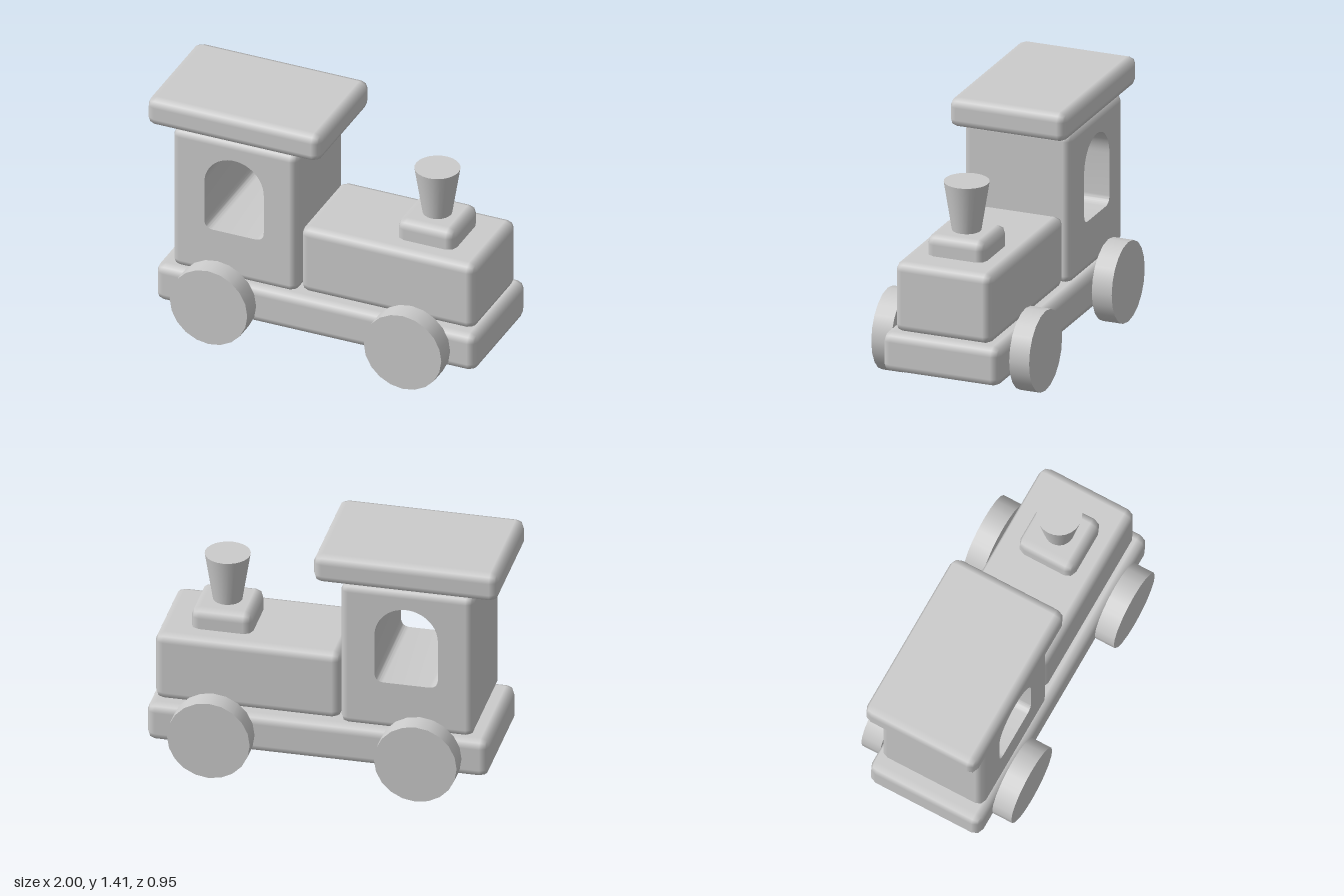
import * as THREE from 'three';
import { RoundedBoxGeometry } from 'three/addons/geometries/RoundedBoxGeometry.js';
import { toCreasedNormals } from 'three/addons/utils/BufferGeometryUtils.js';

const material = new THREE.MeshStandardMaterial({ color: 0xcccccc });

function add(parent, name, geometry, x = 0, y = 0, z = 0) {
  const mesh = new THREE.Mesh(geometry, material);
  mesh.name = name;
  mesh.position.set(x, y, z);
  parent.add(mesh);
  return mesh;
}

// Softly bevelled block given by its x and y limits and half depth
function block(parent, name, x0, x1, y0, y1, halfZ, radius = 0.05) {
  const geometry = new RoundedBoxGeometry(x1 - x0, y1 - y0, halfZ * 2, 1, radius);
  return add(parent, name, geometry, (x0 + x1) / 2, (y0 + y1) / 2);
}

// Drops the flat panels facing +z and -z from a bevelled block
function removeSidePanels(geometry, halfZ) {
  const source = geometry.index ? geometry.toNonIndexed() : geometry;
  const p = source.attributes.position, n = source.attributes.normal;
  const positions = [], normals = [];
  for (let i = 0; i < p.count; i += 3) {
    const corners = [i, i + 1, i + 2];
    if (corners.every((k) => Math.abs(p.getZ(k)) > halfZ - 1e-4)) continue;
    for (const k of corners) {
      positions.push(p.getX(k), p.getY(k), p.getZ(k));
      normals.push(n.getX(k), n.getY(k), n.getZ(k));
    }
  }
  const result = new THREE.BufferGeometry();
  result.setAttribute('position', new THREE.Float32BufferAttribute(positions, 3));
  result.setAttribute('normal', new THREE.Float32BufferAttribute(normals, 3));
  return result;
}

// Arched window outline with small rounded lower corners
function windowPath(x0, x1, y0, y1, r) {
  const mid = (x0 + x1) / 2, arch = (x1 - x0) / 2;
  const path = new THREE.Path();
  path.moveTo(x0 + r, y0);
  path.lineTo(x1 - r, y0);
  path.quadraticCurveTo(x1, y0, x1, y0 + r);
  path.lineTo(x1, y1 - arch);
  path.absarc(mid, y1 - arch, arch, 0, Math.PI, false);
  path.lineTo(x0, y0 + r);
  path.quadraticCurveTo(x0, y0, x0 + r, y0);
  return path;
}

function buildCab(parent) {
  const x0 = -0.855, x1 = -0.097, y0 = 0.352, y1 = 1.236, halfZ = 0.322, r = 0.045;
  const cab = new THREE.Group();
  cab.name = 'cab';
  parent.add(cab);

  const shell = block(cab, 'cabShell', x0, x1, y0, y1, halfZ, r);
  shell.geometry = removeSidePanels(shell.geometry, halfZ);

  // Side panels with the window tunnel running through
  const panel = new THREE.Shape([
    new THREE.Vector2(x0 + r, y0 + r), new THREE.Vector2(x1 - r, y0 + r),
    new THREE.Vector2(x1 - r, y1 - r), new THREE.Vector2(x0 + r, y1 - r),
  ]);
  panel.holes.push(windowPath(-0.655, -0.295, 0.645, 1.12, 0.055));
  const core = new THREE.ExtrudeGeometry(panel, { depth: halfZ * 2, bevelEnabled: false, curveSegments: 14 });
  add(cab, 'cabWindowWalls', toCreasedNormals(core, 0.6), 0, 0, -halfZ);
}

export function createModel() {
  const train = new THREE.Group();
  train.name = 'toyTrain';

  block(train, 'chassis', -0.945, 0.998, 0.12, 0.352, 0.352);
  block(train, 'boiler', -0.093, 0.966, 0.352, 0.766, 0.292);
  buildCab(train);
  block(train, 'roof', -1, 0.053, 1.238, 1.41, 0.352);

  // Chimney
  const base = block(train, 'chimneyBase', 0.439, 0.789, 0.7, 0.885, 0.176, 0.05);
  base.geometry.scale(1, 1.08, 1);
  base.position.y = 0.785;
  add(train, 'chimney', new THREE.CylinderGeometry(0.128, 0.08, 0.3, 24), 0.614, 1.02);

  // Wheels
  const wheel = new THREE.CylinderGeometry(0.235, 0.235, 0.12, 20);
  wheel.rotateX(Math.PI / 2);
  for (const [end, x] of [['rear', -0.562], ['front', 0.614]]) {
    for (const [side, s] of [['Right', 1], ['Left', -1]]) {
      add(train, `${end}${side}Wheel`, wheel, x, 0.235, s * 0.414);
    }
  }
  return train;
}
